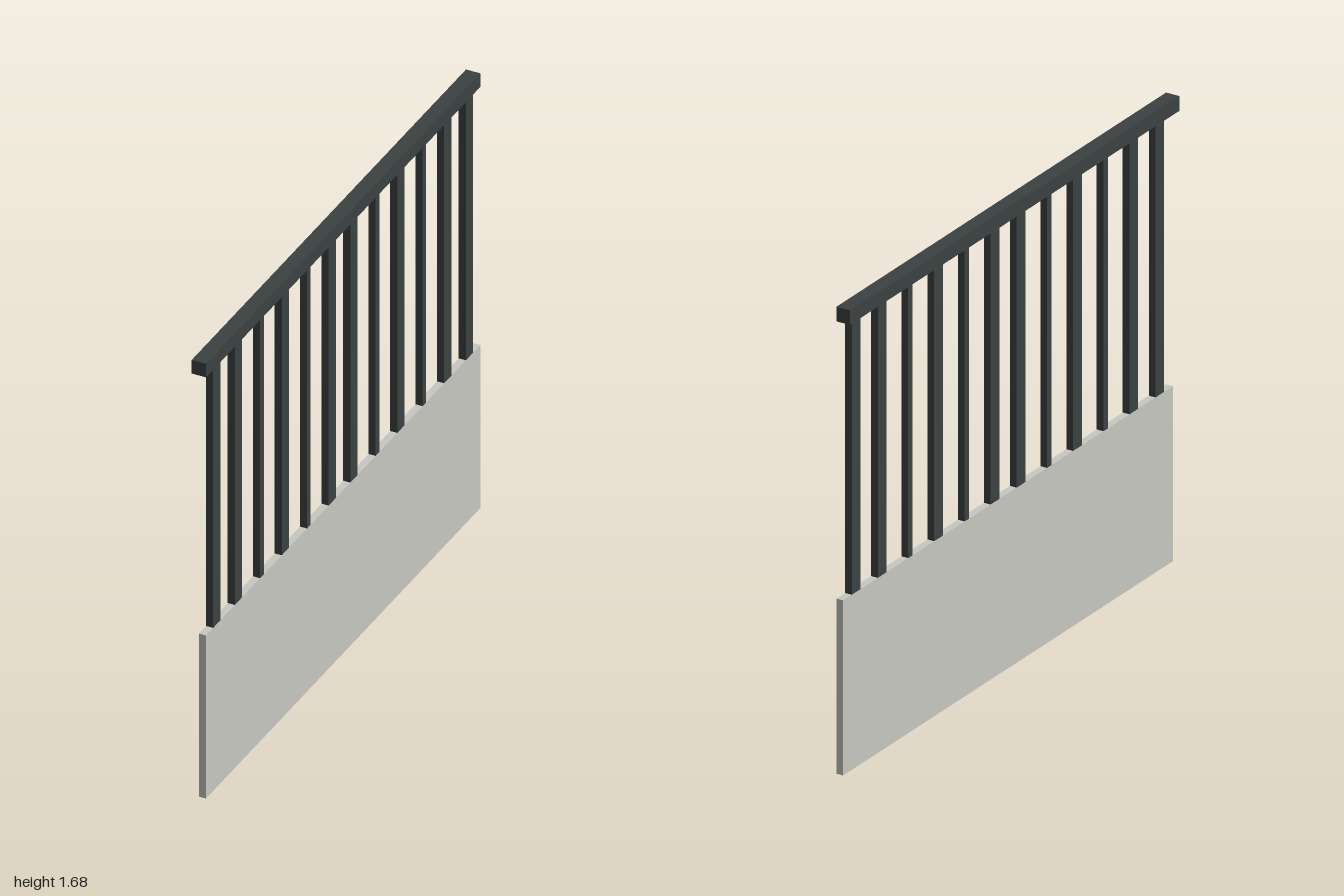
import * as THREE from 'three';

export function createModel() {
  const group = new THREE.Group();
  const darkMetal = new THREE.MeshStandardMaterial({ color: 0x3b4241 });
  darkMetal.name = 'dark metal';
  const paleStone = new THREE.MeshStandardMaterial({ color: 0xc8c8c2 });
  paleStone.name = 'pale stone';

  const U = 1 / 19; // design unit: thickness of the handrail
  const panelTop = 12 * U;
  const railBottom = 31 * U;

  // Box placed by its centre x, bottom y and centre z
  function box(name, material, w, h, d, x, y, z) {
    const mesh = new THREE.Mesh(new THREE.BoxGeometry(w, h, d), material);
    mesh.name = name;
    mesh.position.set(x, y + h / 2, z);
    group.add(mesh);
  }

  // Solid lower panel, on the left half of the rail's width
  box('basePanel', paleStone, U / 2, panelTop, 2, U / 4, 0, 0);

  // Handrail
  box('handrail', darkMetal, U, U, 2, 0, railBottom, 0);

  // Wide and narrow balusters, mirrored front to back: [distance, width] in units
  const balusters = [[1.5, 1], [4.75, 0.5], [8, 1], [11.25, 0.5], [14.5, 1], [17.5, 1]];
  for (const [z, width] of balusters) {
    for (const side of [1, -1]) {
      box(width === 1 ? 'wideBaluster' : 'narrowBaluster', darkMetal,
        U / 2, railBottom - panelTop, width * U, U / 4, panelTop, side * z * U);
    }
  }
  return group;
}
